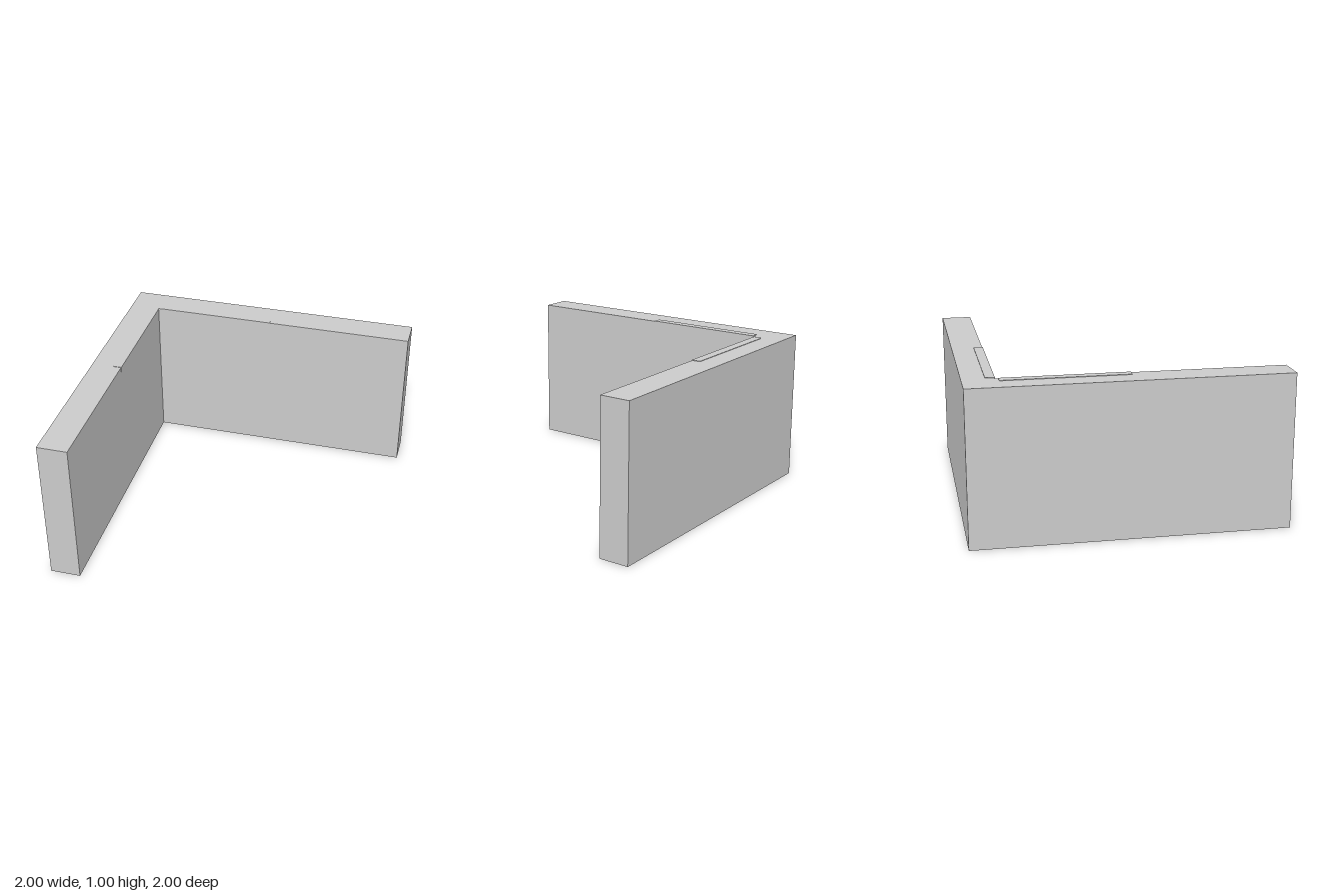
import * as THREE from 'three';

const material = new THREE.MeshStandardMaterial({ color: 0xcccccc, flatShading: true });
const PLATE = 0.003; // bracket sheet thickness
const WALL_TOP = 1 - PLATE;

// Thin plate with its straight edge at the fold and two rounded outer corners
function plateGeometry(length, width, radius) {
  const h = length / 2;
  const shape = new THREE.Shape();
  shape.moveTo(-h, 0);
  shape.lineTo(h, 0);
  shape.lineTo(h, width - radius);
  shape.quadraticCurveTo(h, width, h - radius, width);
  shape.lineTo(-h + radius, width);
  shape.quadraticCurveTo(-h, width, -h, width - radius);
  shape.closePath();
  return new THREE.ExtrudeGeometry(shape, { depth: PLATE, bevelEnabled: false, curveSegments: 5 });
}

// Angle bracket folded over the inner top edge of a wall, inner side towards +z
function createBracket(name) {
  const bracket = new THREE.Group();
  bracket.name = name;

  const top = new THREE.Mesh(plateGeometry(0.8, 0.057, 0.015), material);
  top.name = 'bracketTop';
  top.rotation.x = -Math.PI / 2;
  bracket.add(top);

  const flange = new THREE.Mesh(plateGeometry(0.8, 0.045 + PLATE, 0.008), material);
  flange.name = 'bracketFlange';
  flange.rotation.z = Math.PI;
  flange.position.y = PLATE;
  bracket.add(flange);
  return bracket;
}

export function createModel() {
  const model = new THREE.Group();
  model.name = 'cornerWall';

  // L-shaped wall, drawn in plan and raised upwards
  const plan = new THREE.Shape(
    [[-1, -1], [-0.8, -1], [-0.8, 0.8], [1, 0.8], [1, 1], [-1, 1]].map(([x, y]) => new THREE.Vector2(x, y))
  );
  const wall = new THREE.Mesh(
    new THREE.ExtrudeGeometry(plan, { depth: WALL_TOP, bevelEnabled: false }),
    material
  );
  wall.name = 'wall';
  wall.rotation.x = -Math.PI / 2;
  model.add(wall);

  // One bracket on each arm, next to the inner corner
  const backBracket = createBracket('backBracket');
  backBracket.position.set(-0.38, WALL_TOP, -0.8);
  const sideBracket = createBracket('sideBracket');
  sideBracket.rotation.y = Math.PI / 2;
  sideBracket.position.set(-0.8, WALL_TOP, -0.38);
  model.add(backBracket, sideBracket);

  return model;
}
